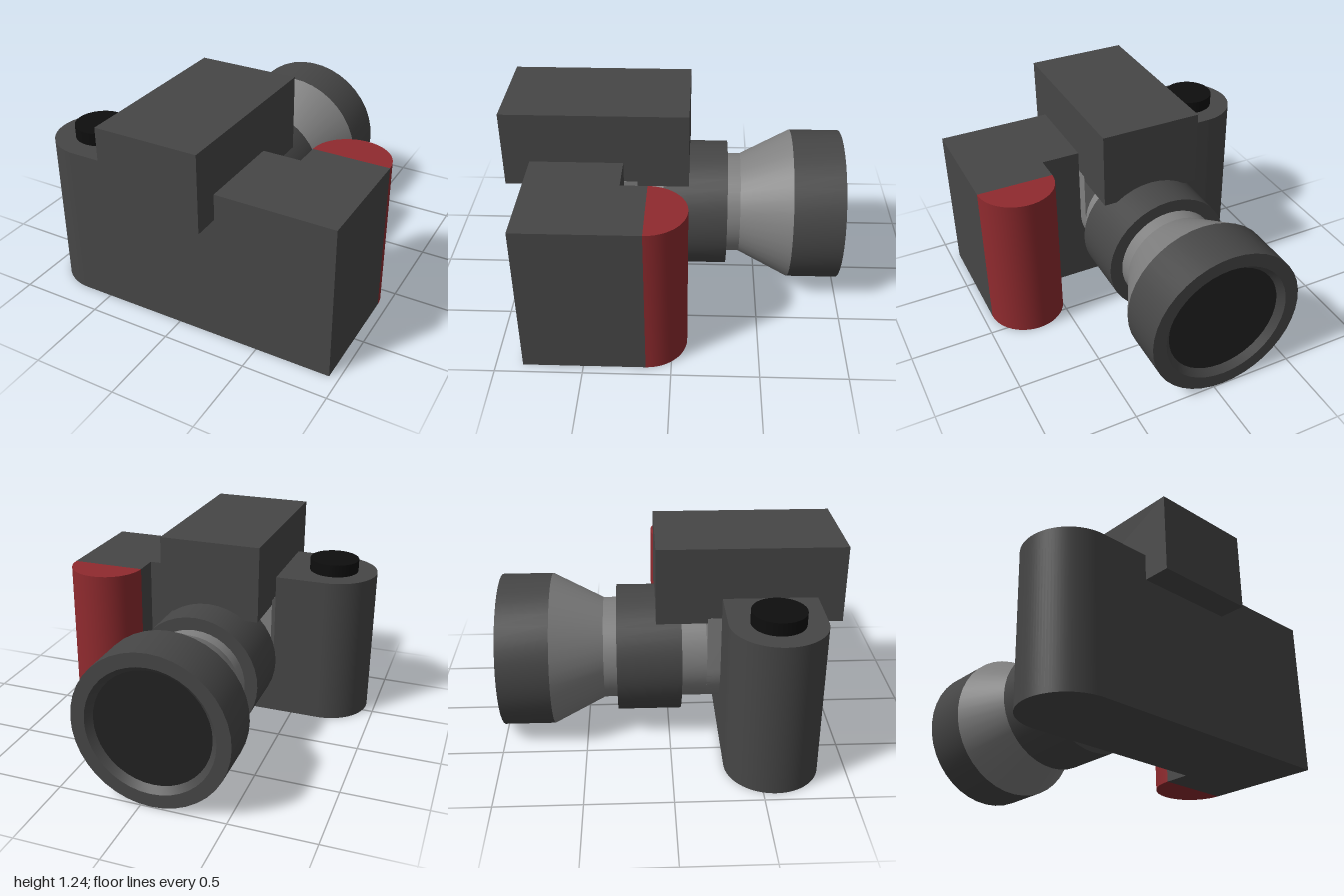
import * as THREE from 'three';
import { toCreasedNormals } from 'three/addons/utils/BufferGeometryUtils.js';

const mat = (color) => new THREE.MeshStandardMaterial({ color });
const dark = mat(0x464646), light = mat(0x808080), red = mat(0x8f2a2e);
const black = mat(0x0e0e0e), glass = mat(0x222222);

const BODY_H = 0.93, BACK = 0.845, FRONT = 0.3;
const LENS_X = -0.06, LENS_Y = 0.465;

export function createModel() {
  const model = new THREE.Group();
  const add = (name, geometry, material, x = 0, y = 0, z = 0, parent = model) => {
    const mesh = new THREE.Mesh(geometry, material);
    mesh.name = name;
    mesh.position.set(x, y, z);
    parent.add(mesh);
    return mesh;
  };
  const extrude = (shape, depth, curveSegments) => toCreasedNormals(
    new THREE.ExtrudeGeometry(shape, { depth, bevelEnabled: false, curveSegments }), 0.4);
  // Plan shapes use (x, -z) and are raised along y
  const raise = (shape, height, segments) => extrude(shape, height, segments).rotateX(-Math.PI / 2);

  // Body: rounded at one end, with a block reaching out to the grip
  const endR = (BACK - FRONT) / 2, endX = -0.945 + endR, midZ = (BACK + FRONT) / 2;
  const plan = new THREE.Shape();
  plan.moveTo(endX, -BACK);
  plan.lineTo(0.945, -BACK);
  plan.lineTo(0.945, -0.145);
  plan.lineTo(0.482, -0.145);
  plan.lineTo(0.482, -FRONT);
  plan.lineTo(endX, -FRONT);
  plan.absarc(endX, -midZ, endR, Math.PI / 2, Math.PI * 1.5, false);
  add('body', raise(plan, BODY_H, 24), dark);

  // Half-round grip
  const grip = new THREE.Shape();
  grip.absarc(0.7135, -0.145, 0.2315, 0, Math.PI, false);
  grip.closePath();
  add('grip', raise(grip, BODY_H, 12), red);

  // Shutter button and viewfinder housing
  add('shutterButton', new THREE.CylinderGeometry(0.153, 0.153, 0.077, 32), black, endX, BODY_H + 0.0385, midZ);
  add('viewfinder', new THREE.BoxGeometry(0.615, 0.46, 1.08), dark, LENS_X, 1.005, 0.46);

  // Lens mount plate: straight sides above a half-round bottom
  const R = 0.308;
  const plate = new THREE.Shape();
  plate.moveTo(R, 0.34);
  plate.lineTo(-R, 0.34);
  plate.lineTo(-R, 0);
  plate.absarc(0, 0, R, Math.PI, Math.PI * 2, false);
  add('lensMount', extrude(plate, 0.09, 16), light, LENS_X, LENS_Y, 0.22);

  // Lens: turned profiles of [radius, distance forward]
  const lens = new THREE.Group();
  lens.name = 'lens';
  lens.position.set(LENS_X, LENS_Y, 0);
  model.add(lens);
  const turn = (name, profile, material) => add(name, toCreasedNormals(
    new THREE.LatheGeometry(profile.map(([r, h]) => new THREE.Vector2(r, h)), 40), 0.4)
    .rotateX(-Math.PI / 2), material, 0, 0, 0, lens);

  turn('lensNeck', [[R, -0.25], [R, 0.4]], light);
  turn('focusRing', [[R, -0.07], [0.385, -0.07], [0.385, 0.31], [R, 0.31]], dark);
  turn('lensCone', [[R, 0.39], [0.462, 0.695]], light);
  turn('lensHood', [[0.462, 0.695], [0.462, 1], [0.38, 1], [0.345, 0.96]], dark);
  add('lensGlass', new THREE.CircleGeometry(0.345, 40).rotateY(Math.PI), glass, 0, 0, -0.96, lens);

  return model;
}
